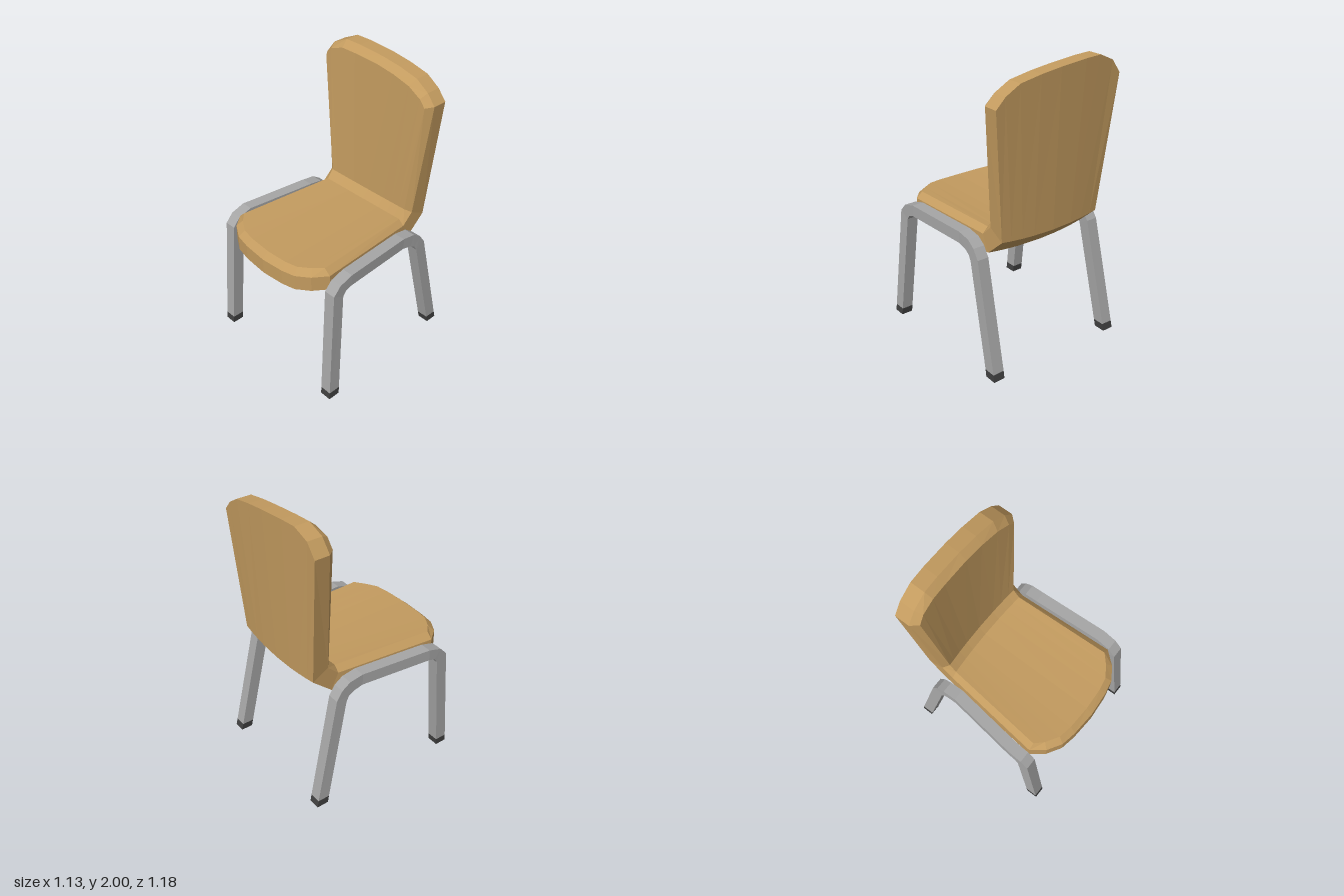
import * as THREE from 'three';

const material = (color) => new THREE.MeshStandardMaterial({ color, flatShading: true });

// Flat-sided mesh from a list of four-cornered faces
function quadMesh(name, quads, mat) {
  const pos = [];
  for (const [a, b, c, d] of quads) pos.push(...a, ...b, ...c, ...a, ...c, ...d);
  const g = new THREE.BufferGeometry();
  g.setAttribute('position', new THREE.Float32BufferAttribute(pos, 3));
  g.computeVertexNormals();
  const mesh = new THREE.Mesh(g, mat);
  mesh.name = name;
  return mesh;
}

// Rounded seat front as [x, z] and slanted back top as [x, y], outer edge and inset edge
const frontOuter = [[-0.47, 0.41], [-0.40, 0.50], [-0.30, 0.56], [-0.19, 0.58], [-0.01, 0.592],
  [0.16, 0.58], [0.26, 0.56], [0.35, 0.50], [0.425, 0.41]];
const frontInner = [[-0.425, 0.41], [-0.37, 0.465], [-0.28, 0.52], [-0.18, 0.537], [-0.01, 0.545],
  [0.15, 0.537], [0.24, 0.52], [0.32, 0.465], [0.38, 0.41]];
const topOuter = [[-0.497, 1.86], [-0.43, 1.95], [-0.32, 2.0], [-0.20, 1.997], [0, 1.98],
  [0.15, 1.96], [0.30, 1.93], [0.40, 1.87], [0.465, 1.80]];
const topInner = [[-0.455, 1.86], [-0.41, 1.925], [-0.31, 1.957], [-0.20, 1.953], [0, 1.94],
  [0.14, 1.92], [0.28, 1.888], [0.38, 1.837], [0.425, 1.79]];

// One layer of the shell: front edge, two fold lines, top edge; its sides curl forward
function shellLayer(front, top, frontY, fold1, fold2, topZ, halfWidth) {
  const n = front.length - 1;
  const foldX = (c) => halfWidth * (front[c][0] < 0 ? front[c][0] / -front[0][0] : front[c][0] / front[n][0]);
  const lift = (x, w) => 0.02 * Math.min(1, (x / w) ** 2);
  const fold = ([y, z]) => front.map((_, c) => {
    const x = foldX(c), l = lift(x, halfWidth);
    return [x, y + l, z + l];
  });
  return [
    front.map(([x, z]) => [x, frontY + lift(x, 0.43), z]),
    fold(fold1),
    fold(fold2),
    top.map(([x, y]) => [x, y, topZ + lift(x, 0.46)]),
  ];
}

// Points around the rim of a layer, anticlockwise from above
function rim(layer) {
  const last = layer[0].length - 1;
  const middle = layer.slice(1, -1);
  return [
    ...layer[0],
    ...middle.map((row) => row[last]),
    ...[...layer[layer.length - 1]].reverse(),
    ...middle.map((row) => row[0]).reverse(),
  ];
}

function seatShell(mat) {
  const under = shellLayer(frontOuter, topOuter, 0.785, [0.785, -0.385], [0.91, -0.525], -0.568, 0.39);
  const edge = shellLayer(frontOuter, topOuter, 0.893, [0.897, -0.33], [0.972, -0.41], -0.465, 0.39);
  const upper = shellLayer(frontInner, topInner, 0.935, [0.935, -0.328], [0.992, -0.376], -0.415, 0.35);
  const quads = [];
  // Upper and under faces
  for (let r = 0; r < 3; r++) {
    for (let c = 0; c < 8; c++) {
      const face = (l) => [l[r][c], l[r][c + 1], l[r + 1][c + 1], l[r + 1][c]];
      quads.push(face(upper), face(under).reverse());
    }
  }
  // Side wall and bevel
  for (const [low, high] of [[under, edge], [edge, upper]]) {
    const a = rim(low), b = rim(high);
    a.forEach((p, i) => {
      const j = (i + 1) % a.length;
      quads.push([p, a[j], b[j], b[i]]);
    });
  }
  return quadMesh('seatAndBackrest', quads, mat);
}

// Leg frame stations: outer z, y; inner z, y; centre x on the right (-x) and left (+x) side
const stations = [
  [0.545, 0, 0.46, 0, -0.51, 0.522],
  [0.54, 0.05, 0.455, 0.05, -0.511, 0.519],
  [0.465, 0.83, 0.385, 0.79, -0.522, 0.48],
  [0.41, 0.89, 0.36, 0.825, -0.523, 0.48],
  [0.31, 0.92, 0.31, 0.84, -0.523, 0.48],
  [-0.20, 0.92, -0.20, 0.84, -0.46, 0.455],
  [-0.30, 0.905, -0.27, 0.825, -0.46, 0.457],
  [-0.36, 0.865, -0.31, 0.80, -0.46, 0.459],
  [-0.405, 0.80, -0.33, 0.765, -0.462, 0.461],
  [-0.579, 0.05, -0.494, 0.05, -0.488, 0.474],
  [-0.59, 0, -0.505, 0, -0.49, 0.476],
];

// Rectangular bar through the given stations
function bar(name, list, xIndex, mat) {
  const w = 0.041;
  const loops = list.map((s) => {
    const x = s[xIndex];
    return [[x - w, s[1], s[0]], [x + w, s[1], s[0]], [x + w, s[3], s[2]], [x - w, s[3], s[2]]];
  });
  const quads = [[...loops[0]].reverse(), loops[loops.length - 1]];
  for (let i = 0; i < loops.length - 1; i++) {
    for (let k = 0; k < 4; k++) {
      const m = (k + 1) % 4;
      quads.push([loops[i][k], loops[i][m], loops[i + 1][m], loops[i + 1][k]]);
    }
  }
  return quadMesh(name, quads, mat);
}

export function createModel() {
  const model = new THREE.Group();
  model.name = 'chair';
  const tan = material(0xc39b5f), metal = material(0xa6a6a6), rubber = material(0x404040);

  model.add(seatShell(tan));
  // Bent leg frames with dark feet
  for (const [side, xIndex] of [['right', 4], ['left', 5]]) {
    const frame = new THREE.Group();
    frame.name = side + 'LegFrame';
    frame.add(
      bar(side + 'Legs', stations.slice(1, -1), xIndex, metal),
      bar(side + 'FrontFoot', stations.slice(0, 2), xIndex, rubber),
      bar(side + 'RearFoot', stations.slice(-2), xIndex, rubber),
    );
    model.add(frame);
  }
  return model;
}
